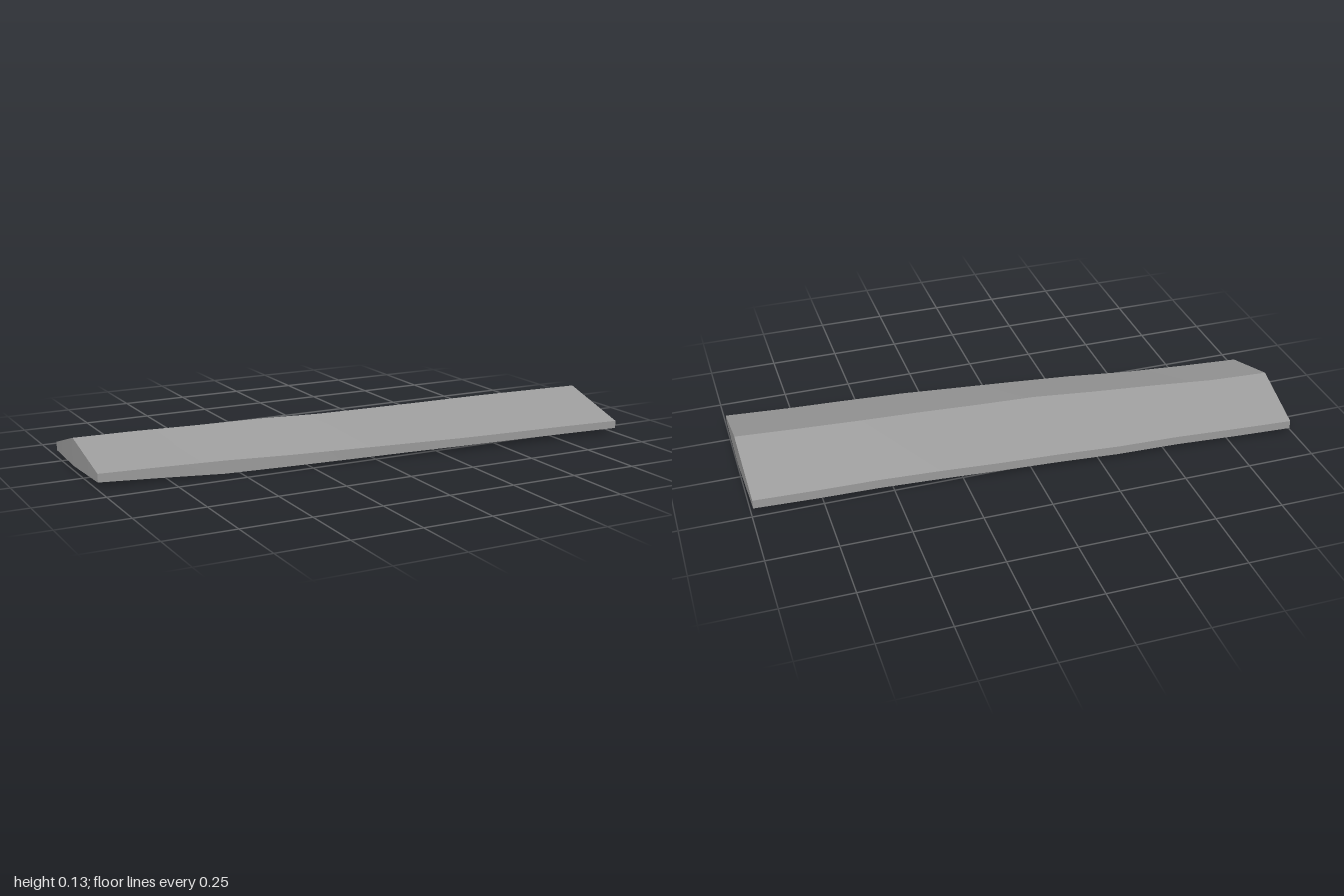
import * as THREE from 'three';
import { toCreasedNormals } from 'three/addons/utils/BufferGeometryUtils.js';

// Cross-sections along x: [x, back z, ridge z, front z, ridge y, back bottom y, front bottom y]
const STATIONS = [
  [-0.99, -0.344, -0.105, 0.13, 0.118, 0.016, 0.017],
  [-0.78, -0.33, -0.092, 0.149, 0.119, 0.015, 0.009],
  [-0.55, -0.312, -0.062, 0.174, 0.121, 0.015, 0],
  [-0.32, -0.303, -0.038, 0.213, 0.124, 0.014, 0.006],
  [-0.1, -0.284, -0.005, 0.241, 0.124, 0.014, 0.01],
  [0.12, -0.27, 0.007, 0.267, 0.125, 0.014, 0.014],
  [0.33, -0.252, 0.02, 0.292, 0.127, 0.013, 0.017],
  [0.55, -0.238, 0.03, 0.309, 0.129, 0.013, 0.018],
  [0.77, -0.232, 0.045, 0.323, 0.13, 0.013, 0.018],
  [0.991, -0.222, 0.063, 0.344, 0.131, 0.014, 0.019],
];
const EAVE_Y = 0.047;

// Section points: bottom middle, front bottom, front eave, ridge, back eave, back bottom.
// The two ends bow out slightly at the ridge.
function section([x, back, ridge, front, top, backY, frontY], i) {
  const isRightEnd = i === STATIONS.length - 1;
  const ridgeX = i === 0 ? -1 : isRightEnd ? 1 : x;
  const frontX = isRightEnd ? 0.998 : x;
  const middleY = THREE.MathUtils.mapLinear(ridge, back, front, backY, frontY);
  return [
    [ridgeX, middleY, ridge],
    [frontX, frontY, front],
    [frontX, EAVE_Y, front],
    [ridgeX, top, ridge],
    [x, EAVE_Y, back],
    [x, backY, back],
  ];
}

function loft(sections) {
  const n = sections[0].length;
  const last = sections.length - 1;
  const index = [];
  for (let i = 0; i < last; i++) {
    for (let j = 0; j < n; j++) {
      const k = (j + 1) % n;
      const a = i * n + j, b = i * n + k;
      index.push(a, a + n, b, b, a + n, b + n);
    }
  }
  // End caps
  for (let j = 1; j < n - 1; j++) {
    index.push(0, j, j + 1);
    index.push(last * n, last * n + j + 1, last * n + j);
  }
  const geometry = new THREE.BufferGeometry();
  geometry.setAttribute('position', new THREE.Float32BufferAttribute(sections.flat(2), 3));
  geometry.setIndex(index);
  return toCreasedNormals(geometry, 0.4);
}

export function createModel() {
  const group = new THREE.Group();
  group.name = 'roof';
  // Gently curving ridged slab
  const slab = new THREE.Mesh(
    loft(STATIONS.map(section)),
    new THREE.MeshStandardMaterial({ color: 0x9b9b9b })
  );
  slab.name = 'ridgedRoofSlab';
  group.add(slab);
  return group;
}
